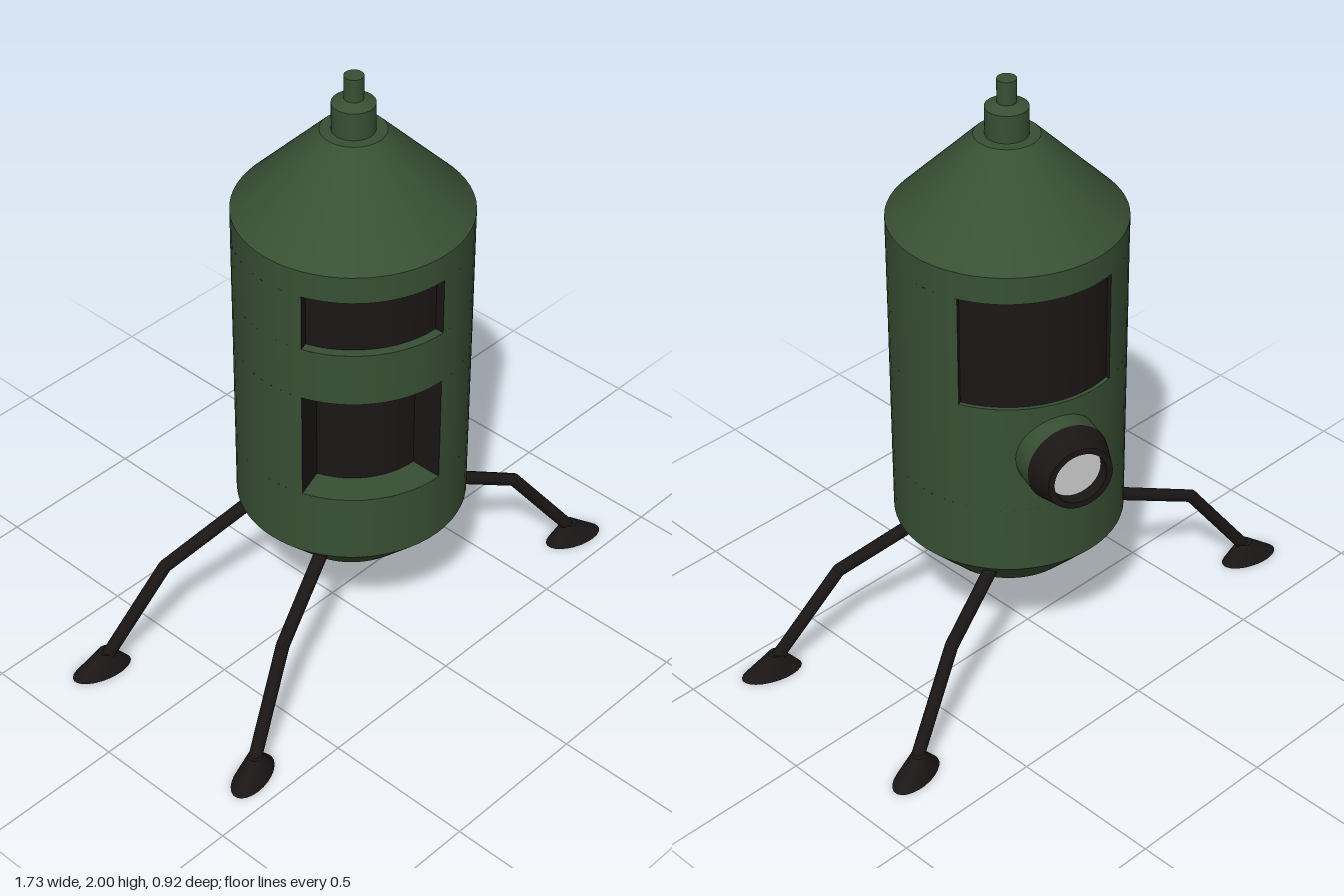
import * as THREE from 'three';

const green = new THREE.MeshStandardMaterial({ color: 0x37502f, side: THREE.DoubleSide });
const black = new THREE.MeshStandardMaterial({ color: 0x1a1615, side: THREE.DoubleSide });
const grey = new THREE.MeshStandardMaterial({ color: 0xcccccc, side: THREE.DoubleSide });
green.color.set(0x385034);

const RAD = Math.PI / 180;
const R = 0.365;

function add(parent, name, geometry, material) {
  const mesh = new THREE.Mesh(geometry, material);
  mesh.name = name;
  parent.add(mesh);
  return mesh;
}

// Open conical band between two heights; angles in degrees from +z towards +x
function band(r0, r1, y0, y1, start = 0, sweep = 360) {
  const g = new THREE.CylinderGeometry(r1, r0, y1 - y0, Math.ceil(sweep / 6), 1, true, start * RAD, sweep * RAD);
  return g.translate(0, (y0 + y1) / 2, 0);
}

// Flat horizontal ring sector
function ledge(r0, r1, y, start = 0, sweep = 360) {
  const g = new THREE.RingGeometry(r0, r1, Math.ceil(sweep / 6), 1, (start - 90) * RAD, sweep * RAD);
  return g.rotateX(-Math.PI / 2).translate(0, y, 0);
}

// Recessed window: dark back panel and side walls, green sill and head
function recess(parent, name, y0, y1, start, sweep, depth) {
  const group = new THREE.Group();
  group.name = name;
  parent.add(group);
  const inner = R - depth;
  add(group, 'windowPanel', band(inner, inner, y0, y1, start, sweep), black);
  for (const a of [start, start + sweep]) {
    const wall = new THREE.PlaneGeometry(depth, y1 - y0).translate(R - depth / 2, (y0 + y1) / 2, 0);
    add(group, 'windowSideWall', wall.rotateY((a - 90) * RAD), black);
  }
  add(group, 'windowSill', ledge(inner, R, y0, start, sweep), green);
  add(group, 'windowHead', ledge(inner, R, y1, start, sweep), green);
}

// Straight round bar between two points
function bar(a, b, r0, r1) {
  const dir = b.clone().sub(a);
  const g = new THREE.CylinderGeometry(r1, r0, dir.length(), 12);
  g.applyQuaternion(new THREE.Quaternion().setFromUnitVectors(new THREE.Vector3(0, 1, 0), dir.clone().normalize()));
  return g.translate((a.x + b.x) / 2, (a.y + b.y) / 2, (a.z + b.z) / 2);
}

export function createModel() {
  const model = new THREE.Group();
  model.name = 'capsule';

  const body = new THREE.Group();
  body.name = 'body';
  body.position.set(0.035, 0, 0.05);
  model.add(body);

  // Hull wall in bands, leaving gaps for the windows
  const F0 = -71, F1 = 0, B0 = 112, B1 = 192;
  add(body, 'bottomCone', band(0.22, R, 0.34, 0.49), green);
  const wall = [
    [0.49, 0.72, [[0, 360]]],
    [0.72, 1.09, [[F1, F0 + 360]]],
    [1.09, 1.27, [[B1, B0 + 360]]],
    [1.27, 1.46, [[F1, B0], [B1, F0 + 360]]],
    [1.46, 1.55, [[0, 360]]],
  ];
  for (const [y0, y1, arcs] of wall)
    for (const [a, b] of arcs) add(body, 'hullWall', band(R, R, y0, y1, a, b - a), green);

  // Roof cone, collar and mast
  add(body, 'roofCone', band(R, 0.1, 1.55, 1.82), green);
  add(body, 'roofTop', ledge(0, 0.1, 1.82), green);
  add(body, 'collar', band(0.066, 0.066, 1.82, 1.91), green);
  add(body, 'collarTaper', band(0.066, 0.03, 1.91, 1.925), green);
  add(body, 'mast', band(0.03, 0.03, 1.925, 2), green);
  add(body, 'mastTop', ledge(0, 0.03, 2), green);

  recess(body, 'lowerFrontWindow', 0.72, 1.09, F0, F1 - F0, 0.105);
  recess(body, 'upperFrontWindow', 1.27, 1.46, F0, F1 - F0, 0.03);
  recess(body, 'backWindow', 1.09, 1.46, B0, B1 - B0, 0.013);

  // Porthole lamp: its own y axis points out of the hull
  const lamp = new THREE.Group();
  lamp.name = 'lamp';
  lamp.position.y = 0.91;
  lamp.rotation.set(Math.PI / 2, 0, -160.5 * RAD, 'XYZ');
  body.add(lamp);
  add(lamp, 'lampBase', band(0.133, 0.133, 0.32, 0.424), green);
  add(lamp, 'lampHood', band(0.133, 0.106, 0.424, 0.51), black);
  add(lamp, 'lampRim', ledge(0.086, 0.106, 0.51), black);
  add(lamp, 'lampInside', band(0.086, 0.086, 0.47, 0.51), black);
  add(lamp, 'lampLens', ledge(0, 0.086, 0.47), grey);

  // Four bent legs with oval feet
  for (const side of [1, -1]) {
    for (const front of [true, false]) {
      const leg = new THREE.Group();
      leg.name = (front ? 'front' : 'back') + (side > 0 ? 'Left' : 'Right') + 'Leg';
      model.add(leg);
      const hip = side > 0
        ? new THREE.Vector3(0.29, 0.445, front ? 0.21 : -0.13)
        : new THREE.Vector3(-0.22, 0.47, front ? 0.18 : -0.13);
      const knee = new THREE.Vector3(side * 0.54, 0.335, front ? 0.305 : -0.215);
      const ankle = new THREE.Vector3(side * 0.75, 0.05, front ? 0.385 : -0.277);
      add(leg, 'upperLeg', bar(hip, knee, 0.022, 0.021), black);
      add(leg, 'knee', new THREE.SphereGeometry(0.021, 12, 8).translate(knee.x, knee.y, knee.z), black);
      add(leg, 'lowerLeg', bar(knee, ankle, 0.021, 0.021), black);

      // Foot: oval cone, its top shifted towards the body
      const foot = new THREE.CylinderGeometry(0.024, 0.102, 0.07, 24).translate(0, 0.035, 0);
      const p = foot.attributes.position;
      for (let i = 0; i < p.count; i++) {
        const top = p.getY(i) > 0.01;
        p.setXYZ(i, p.getX(i) - (top ? 0.018 : 0), p.getY(i), p.getZ(i) * (top ? 1 : 0.52));
      }
      foot.computeVertexNormals();
      const out = front ? 0.3 : -0.23;
      foot.rotateY(-Math.atan2(out, side)).translate(side * 0.765, 0, front ? 0.392 : -0.287);
      add(leg, 'foot', foot, black);
    }
  }
  return model;
}
